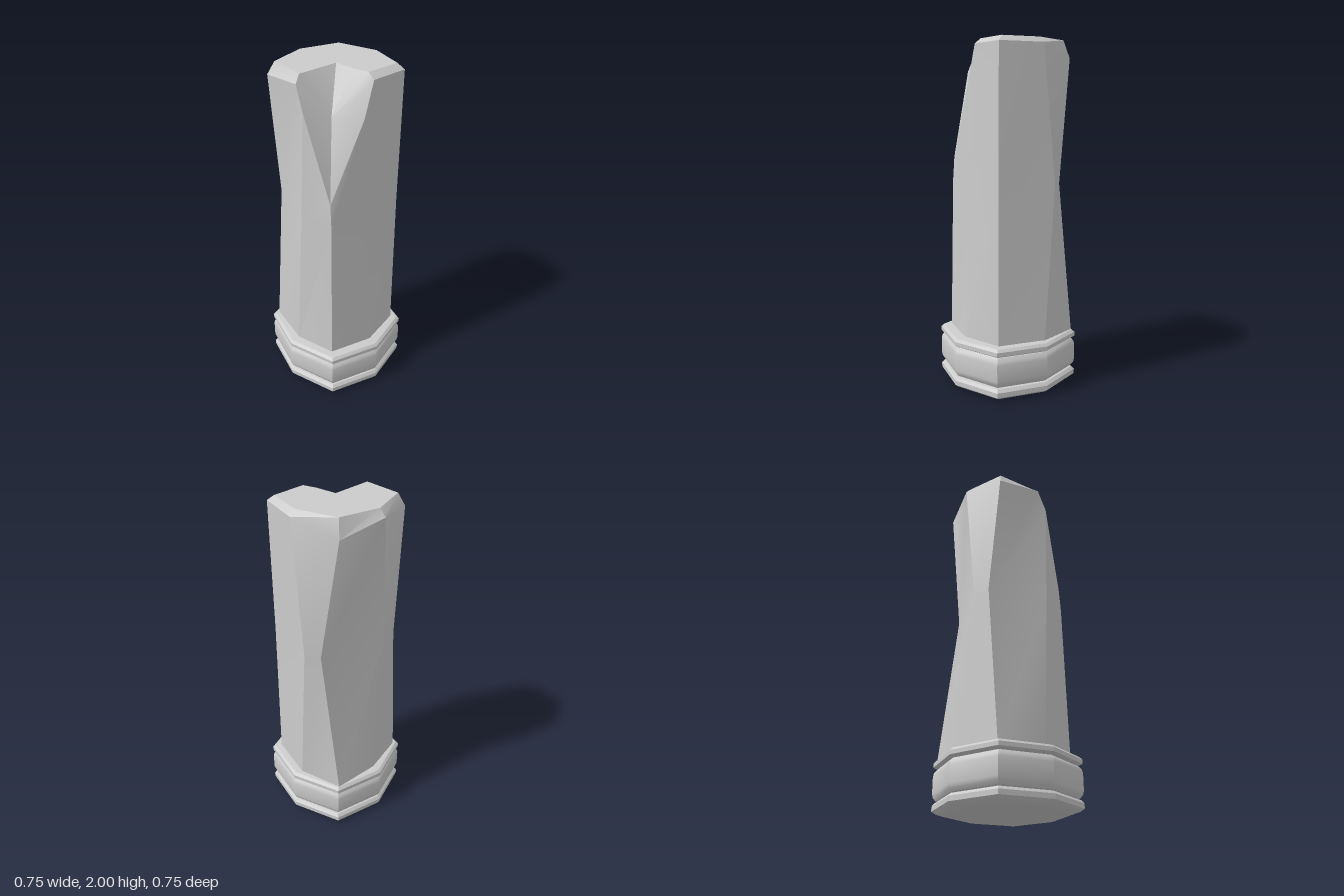
import * as THREE from 'three';
import { toCreasedNormals } from 'three/addons/utils/BufferGeometryUtils.js';

const material = new THREE.MeshStandardMaterial({ color: 0xcccccc });

// Mesh from polygons, each a loop of [x, y, z] corners fanned from its first corner
function polygonMesh(name, polygons) {
  const positions = [];
  for (const p of polygons) {
    for (let i = 1; i < p.length - 1; i++) positions.push(...p[0], ...p[i], ...p[i + 1]);
  }
  const geometry = new THREE.BufferGeometry();
  geometry.setAttribute('position', new THREE.Float32BufferAttribute(positions, 3));
  const mesh = new THREE.Mesh(toCreasedNormals(geometry, 0.5), material);
  mesh.name = name;
  return mesh;
}

// Octagonal moulding swept from a [radius, y] profile
function moulding(name, profile) {
  const ring = ([r, y]) => Array.from({ length: 8 }, (_, i) => {
    const a = (i * Math.PI) / 4;
    const s = i % 2 ? r * 1.088 : r;
    return [s * Math.cos(a), y, -s * Math.sin(a)];
  });
  const rings = profile.map(ring);
  const faces = [[...rings[0]].reverse(), rings[rings.length - 1]];
  for (let k = 0; k < rings.length - 1; k++) {
    for (let i = 0; i < 8; i++) {
      const j = (i + 1) % 8;
      faces.push([rings[k][i], rings[k][j], rings[k + 1][j], rings[k + 1][i]]);
    }
  }
  return polygonMesh(name, faces);
}

// Carved shaft with pinched edges and a broken corner at the top
function shaft() {
  const level = (y, points) => points.map(([x, z]) => [x, y, z]);
  const B = level(0.29, [[0.33, -0.02], [0.27, -0.28], [0, -0.32], [-0.26, -0.27],
    [-0.315, 0], [-0.25, 0.24], [0, 0.31], [0.25, 0.25]]);
  const M = level(1.2, [[0.335, -0.08], [0.285, -0.155], [-0.07, -0.3], [-0.18, -0.28],
    [-0.3, 0.05], [-0.237, 0.225], [0, 0.25], [0.245, 0.245]]);
  // Bevel ring and cap corners that remain whole
  const T = { 0: [0.325, 1.97, 0], 1: [0.25, 1.9, -0.255], 2: [0, 1.96, -0.328],
    3: [-0.25, 1.93, -0.255], 7: [0.25, 1.97, 0.245] };
  const C = { 0: [0.29, 2, 0], 1: [0.225, 2, -0.228], 2: [0, 2, -0.292],
    3: [-0.22, 2, -0.228], 7: [0.23, 2, 0.21] };
  // Valley of the break, then its left and right rims
  const v0 = [0, 2, 0], v1 = [-0.13, 1.78, 0.11], tip = [-0.235, 1.34, 0.215];
  const l0 = [-0.14, 2, -0.025], l1 = [-0.24, 2, -0.005];
  const l2 = [-0.283, 1.965, 0.02], l3 = [-0.29, 1.84, 0.075];
  const r0 = [0.01, 2, 0.125], r1 = [0.03, 2, 0.205];
  const r2 = [0.03, 1.97, 0.245], r3 = [-0.03, 1.78, 0.247];

  const faces = [];
  for (let i = 0; i < 8; i++) {
    const j = (i + 1) % 8;
    faces.push([B[i], B[j], M[j], M[i]]);
    if (T[i] && T[j]) faces.push([M[i], M[j], T[j], T[i]], [T[i], T[j], C[j], C[i]]);
  }
  faces.push(
    // sides and bevels that meet the break
    [M[3], M[4], l3, l2, T[3]], [M[4], M[5], tip, l3],
    [M[5], M[6], r3, tip], [M[6], M[7], T[7], r2, r3],
    [T[3], l2, l1, C[3]], [r2, T[7], C[7], r1],
    // cap
    [v0, r0, r1, C[7], C[0], C[1], C[2], C[3], l1, l0],
    // break surfaces
    [v1, v0, l0, l1, l2, l3, tip], [v0, v1, r0], [v1, r3, r2, r1, r0], [v1, tip, r3],
  );
  return polygonMesh('shaft', faces);
}

export function createModel() {
  const group = new THREE.Group();
  group.name = 'brokenColumn';
  group.add(
    moulding('lowerBaseRing', [[0.32, 0], [0.355, 0.012], [0.377, 0.028], [0.377, 0.055], [0.362, 0.072], [0.33, 0.075]]),
    moulding('baseBlock', [[0.33, 0.07], [0.357, 0.08], [0.372, 0.1], [0.377, 0.12],
      [0.377, 0.215], [0.372, 0.235], [0.357, 0.253], [0.33, 0.26]]),
    moulding('upperBaseRing', [[0.33, 0.255], [0.362, 0.258], [0.377, 0.267], [0.377, 0.29], [0.362, 0.305], [0.32, 0.31]]),
    shaft(),
  );
  return group;
}
